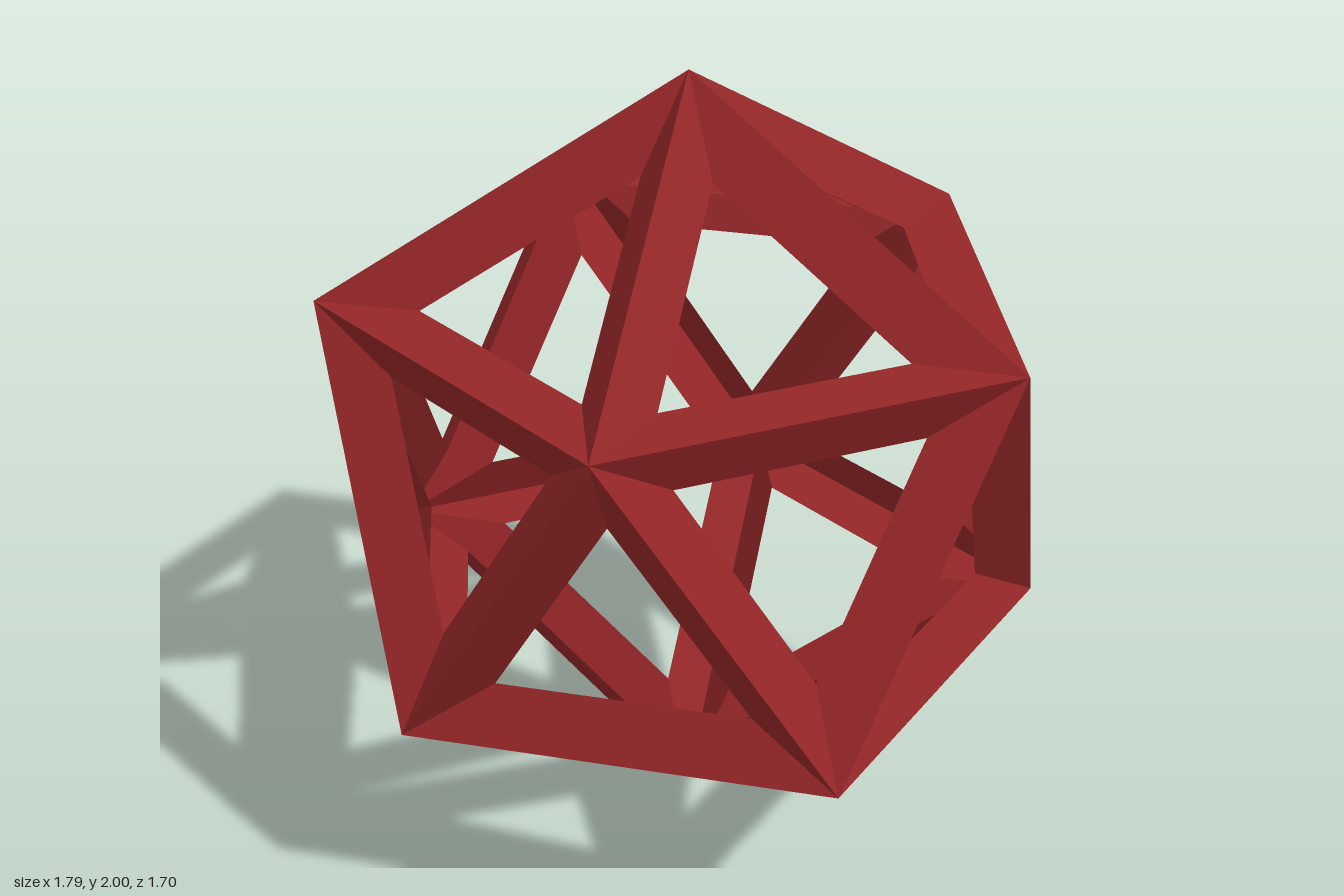
import * as THREE from 'three';

const INSET = 0.586; // size of each triangular opening relative to its face
const DEPTH = 0.887; // how far the opening sits towards the centre

// Corners of an icosahedron of radius 1 standing on one corner
function makeCorners() {
  const corners = [new THREE.Vector3(0, 1, 0), new THREE.Vector3(0, -1, 0)];
  const ringRadius = 2 / Math.sqrt(5);
  const ringHeight = 1 / Math.sqrt(5);
  for (let i = 0; i < 5; i++) {
    const a = (i * 2 * Math.PI) / 5;
    const p = new THREE.Vector3(ringRadius * Math.cos(a), ringHeight, ringRadius * Math.sin(a));
    corners.push(p, p.clone().negate());
  }
  return corners;
}

// One sloping flange of a strut: from the edge a-b to the opening of face a-b-c
function flange(a, b, c) {
  const centre = a.clone().add(b).add(c).divideScalar(3);
  const inner = (v) => v.clone().sub(centre).multiplyScalar(INSET).addScaledVector(centre, DEPTH);
  const ia = inner(a);
  const ib = inner(b);
  const normal = b.clone().sub(a).cross(ib.clone().sub(a));
  return normal.dot(centre) > 0 ? [a, b, ib, a, ib, ia] : [a, ib, b, a, ia, ib];
}

export function createModel() {
  const model = new THREE.Group();
  model.name = 'icosahedronFrame';
  const red = new THREE.MeshStandardMaterial({ color: 0x952628, side: THREE.DoubleSide });
  red.name = 'dark red';

  const corners = makeCorners();
  const touching = (p, q) => p !== q && p.distanceTo(q) < 1.1;

  // A V-shaped strut along each of the 30 edges
  corners.forEach((a, i) => {
    corners.slice(i + 1).filter((b) => touching(a, b)).forEach((b) => {
      const points = corners
        .filter((c) => touching(a, c) && touching(b, c))
        .flatMap((c) => flange(a, b, c));
      const geometry = new THREE.BufferGeometry().setFromPoints(points);
      geometry.computeVertexNormals();
      const strut = new THREE.Mesh(geometry, red);
      strut.name = 'strut';
      strut.position.y = 1;
      model.add(strut);
    });
  });

  return model;
}
